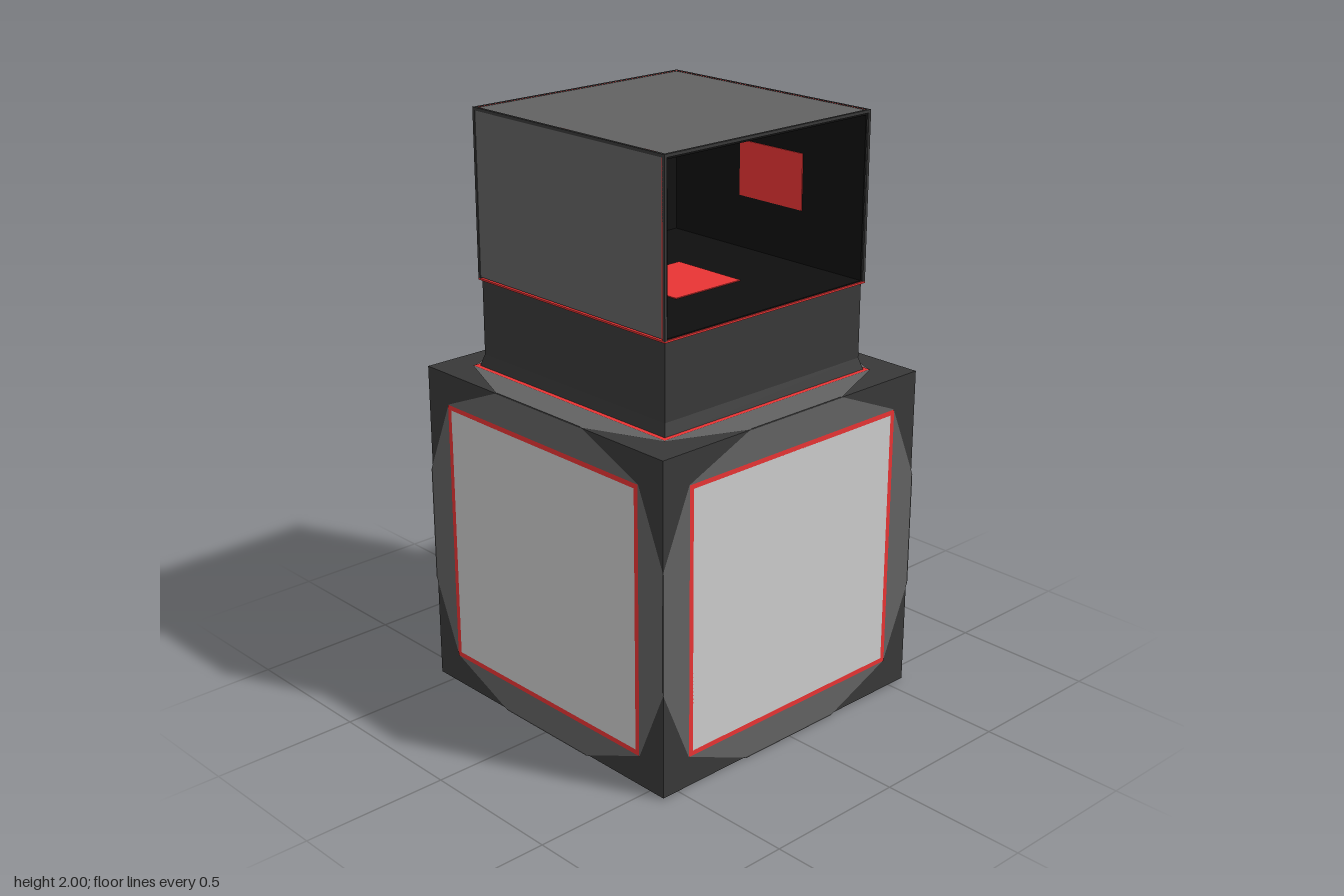
import * as THREE from 'three';

const paint = (color) => new THREE.MeshStandardMaterial({ color, side: THREE.DoubleSide, flatShading: true });

export function createModel() {
  const model = new THREE.Group();
  const light = paint(0xcccccc), grey = paint(0x626262), dark = paint(0x383838);
  const black = paint(0x0f0f0f), red = paint(0xe83434);

  const add = (parent, name, geometry, material, x = 0, y = 0, z = 0) => {
    const mesh = new THREE.Mesh(geometry, material);
    mesh.name = name;
    mesh.position.set(x, y, z);
    parent.add(mesh);
    return mesh;
  };
  const box = (parent, name, w, h, d, material, x, y, z) =>
    add(parent, name, new THREE.BoxGeometry(w, h, d), material, x, y, z);

  // Square frame in the XY plane
  const frame = (outer, inner) => {
    const square = (Type, r) => new Type([[-r, -r], [r, -r], [r, r], [-r, r]].map(([x, y]) => new THREE.Vector2(x, y)));
    const shape = square(THREE.Shape, outer);
    shape.holes.push(square(THREE.Path, inner));
    return new THREE.ShapeGeometry(shape);
  };

  // Base cube with an inlaid twelve-sided plate on every face
  const half = 0.566, mid = 0.57;
  box(model, 'baseCube', half * 2, half * 2, half * 2, dark, 0, mid, 0);
  const plate = [];
  for (let i = 0; i < 4; i++) {
    for (const [x, y] of [[0.57, -0.2], [0.57, 0.2], [0.46, 0.46]]) {
      plate.push(new THREE.Vector2(x, y).rotateAround(new THREE.Vector2(), i * Math.PI / 2));
    }
  }
  const plateGeometry = new THREE.ShapeGeometry(new THREE.Shape(plate));
  const turns = [[0, 0], [0, 1], [0, 2], [0, 3], [1, 0], [-1, 0]];
  turns.forEach(([rx, ry]) => {
    const face = new THREE.Group();
    face.name = 'baseFace';
    face.position.y = mid;
    face.rotation.set(rx * Math.PI / 2, ry * Math.PI / 2, 0);
    add(face, 'facePlate', plateGeometry, grey, 0, 0, half + 0.002);
    add(face, 'faceRedFrame', frame(0.46, 0.443), red, 0, 0, half + 0.004);
    if (rx !== -1) add(face, 'facePanel', new THREE.PlaneGeometry(0.888, 0.888), light, 0, 0, half + 0.004);
    model.add(face);
  });

  // Neck with a flared foot
  const foot = new THREE.CylinderGeometry(0.432 * Math.SQRT2, 0.444 * Math.SQRT2, 0.04, 4);
  add(model, 'neckFoot', foot.rotateY(Math.PI / 4), dark, 0, 1.16, 0);
  box(model, 'neck', 0.864, 0.3, 0.864, dark, 0, 1.288, 0);
  box(model, 'neckRedSeam', 0.882, 0.006, 0.882, red, 0, 1.438, 0);

  // Hollow head, open at the front: grey shell, black lining
  const head = new THREE.Group();
  head.name = 'head';
  model.add(head);
  const cy = 1.72;
  for (const s of [-1, 1]) {
    box(head, 'sideWall', 0.008, 0.55, 0.872, grey, s * 0.435, cy, 0);
    box(head, 'sideLining', 0.006, 0.55, 0.87, black, s * 0.428, cy, 0);
    box(head, 'sidePatch', 0.004, 0.19, 0.285, red, s * 0.424, cy, 0.03);
  }
  box(head, 'backWall', 0.872, 0.55, 0.008, grey, 0, cy, -0.435);
  box(head, 'backLining', 0.86, 0.55, 0.006, black, 0, cy, -0.428);
  box(head, 'backPatch', 0.285, 0.19, 0.004, red, 0, cy, -0.424);
  box(head, 'roof', 0.872, 0.008, 0.872, grey, 0, 1.993, 0);
  box(head, 'ceilingLining', 0.86, 0.006, 0.87, black, 0, 1.986, 0);
  box(head, 'ceilingPatch', 0.285, 0.004, 0.285, red, 0, 1.982, 0.03);
  box(head, 'floorLining', 0.86, 0.006, 0.87, black, 0, 1.442, 0);
  box(head, 'floorPatch', 0.285, 0.004, 0.285, red, 0, 1.446, 0.03);

  // Dark edge trim and thin red seams of the head
  for (const s of [-1, 1]) {
    for (const t of [-1, 1]) box(head, 'uprightTrim', 0.01, 0.56, 0.01, dark, s * 0.436, cy, t * 0.436);
    box(head, 'roofSideTrim', 0.01, 0.01, 0.882, dark, s * 0.436, 1.995, 0);
    box(head, 'roofCrossTrim', 0.882, 0.01, 0.01, dark, 0, 1.995, s * 0.436);
    box(head, 'sideRedSeam', 0.004, 0.55, 0.004, red, s * 0.439, cy, 0.43);
  }
  add(head, 'roofRedSeam', frame(0.432, 0.428).rotateX(-Math.PI / 2), red, 0, 1.999, 0);

  return model;
}
